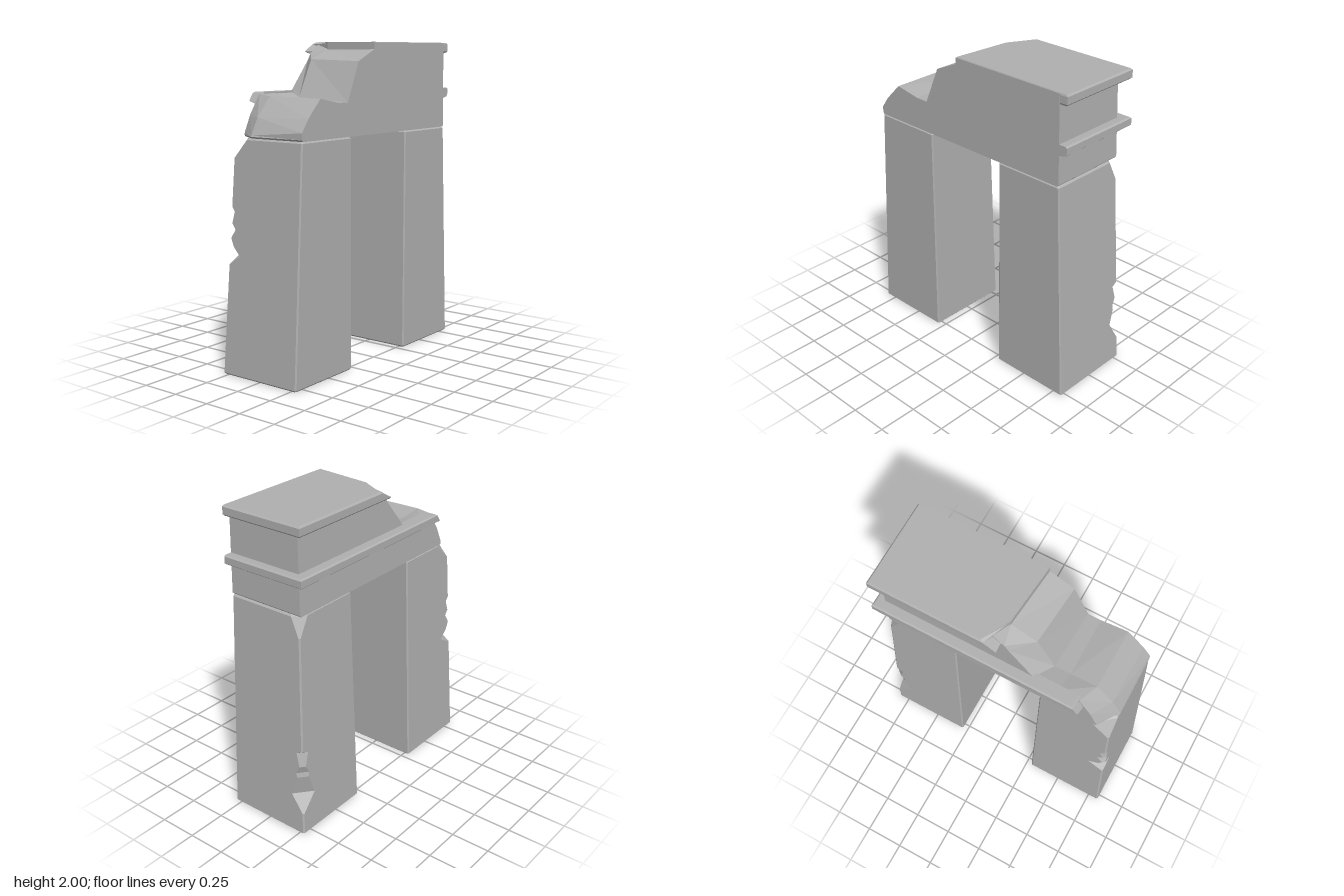
import * as THREE from 'three';

const stone = new THREE.MeshStandardMaterial({ color: 0xb0b0b0, flatShading: true });
stone.name = 'grey stone';

// Solid skinned over rings of [x, y, z] points; 'flat' picks the two axes used to close the ends.
function loft(name, rings, flat) {
  const to2D = (r) => r.map((p) => new THREE.Vector2(p[flat[0]], p[flat[1]]));
  if (THREE.ShapeUtils.area(to2D(rings[0])) < 0) rings = rings.map((r) => [...r].reverse());
  const n = rings[0].length;
  const tris = [];
  for (let k = 0; k < rings.length - 1; k++) {
    const a = rings[k], b = rings[k + 1];
    for (let i = 0; i < n; i++) {
      const j = (i + 1) % n;
      tris.push([a[i], a[j], b[j]], [a[i], b[j], b[i]]);
    }
  }
  const first = rings[0], last = rings[rings.length - 1];
  for (const [a, b, c] of THREE.ShapeUtils.triangulateShape(to2D(first), [])) tris.push([first[a], first[c], first[b]]);
  for (const [a, b, c] of THREE.ShapeUtils.triangulateShape(to2D(last), [])) tris.push([last[a], last[b], last[c]]);

  // Turn the faces outward whichever way the rings run
  const v = (p) => new THREE.Vector3(...p);
  const volume = tris.reduce((s, [a, b, c]) => s + v(a).dot(v(b).cross(v(c))), 0);
  const points = tris.flatMap(([a, b, c]) => (volume < 0 ? [a, c, b] : [a, b, c]));
  const geometry = new THREE.BufferGeometry();
  geometry.setAttribute('position', new THREE.Float32BufferAttribute(points.flat(), 3));
  geometry.computeVertexNormals();
  const mesh = new THREE.Mesh(geometry, stone);
  mesh.name = name;
  return mesh;
}

// Tapered pillar; side is +1 for front, -1 for back, chips are [height, cut] along its outer corner
function pillar(name, side, chips) {
  const e = 0.008;
  const ring = ([y, cut], inset) => {
    const t = y / 1.44;
    const x0 = THREE.MathUtils.lerp(-0.287, -0.23, t) + inset, x1 = 0.287 - inset;
    const z0 = 0.285 + inset, z1 = THREE.MathUtils.lerp(0.822, 0.75, t) - inset;
    return [
      [x0 + e, z0], [x1 - e, z0], [x1, z0 + e], [x1, z1 - e],
      [x1 - e, z1], [x0 + cut, z1], [x0, z1 - cut * 1.2], [x0, z0 + e],
    ].map(([x, z]) => [x, y, z * side]);
  };
  const top = chips[chips.length - 1][1];
  return loft(name, [
    ring([0, e], 0.01), ring([0.01, e], 0),
    ...chips.map((c) => ring(c, 0)),
    ring([1.44, top], 0.01),
  ], [0, 2]);
}

// Broken lintel, skinned from three upright profiles of [z, y] across its width
function lintel() {
  const profiles = [
    [0.287, [[0.74, 1.44], [0.75, 1.45], [0.75, 1.49], [0.695, 1.565], [0.585, 1.675], [0.41, 1.645], [0.325, 1.645],
      [0.22, 1.885], [0.06, 1.955], [0.06, 1.997]]],
    [-0.1, [[0.74, 1.44], [0.75, 1.45], [0.745, 1.458], [0.69, 1.56], [0.58, 1.68], [0.41, 1.665], [0.31, 1.665],
      [0.19, 1.895], [0.025, 1.955], [0.025, 1.997]]],
    [-0.235, [[0.65, 1.44], [0.66, 1.45], [0.655, 1.47], [0.61, 1.57], [0.53, 1.69], [0.4, 1.695], [0.235, 1.695],
      [0.075, 1.89], [0.05, 1.93], [-0.04, 1.997]]],
  ];
  const back = [[-0.735, 1.997], [-0.747, 1.45], [-0.737, 1.44]];
  const rings = profiles.map(([x, front]) => [...front, ...back].map(([z, y]) => {
    const lean = x < -0.2 ? (y - 1.44) * 0.03 : 0;
    return [x + lean, y, z];
  }));
  return loft('lintel', rings, [2, 1]);
}

// Top slab, overhanging at the back and the right, broken off at the front
function cornice() {
  const ring = (y, inset, tip) => {
    const x0 = -0.282 + inset, x1 = 0.286 - inset * 0.4, z0 = -0.79 + inset;
    return [[x0, y, z0], [x1, y, z0], [x1, y, 0.057], [-0.1, y, 0.022], [x0, y, tip]];
  };
  return loft('cornice', [
    ring(1.925, 0.05, 0.02), ring(1.935, 0.01, 0.03), ring(1.945, 0, 0.03),
    ring(1.99, 0, -0.05), ring(2, 0.01, -0.07),
  ], [0, 2]);
}

// Lower ledge running round the back and the right
function ledge() {
  const ring = (y, inset, tip) => {
    const x0 = -0.292 + inset, x1 = 0.286, z0 = -0.797 + inset;
    return [[x0, y, z0], [x1, y, z0], [x1, y, -0.7], [-0.2, y, -0.7], [-0.2, y, tip], [x0, y, tip]];
  };
  return loft('ledge', [
    ring(1.632, 0.05, 0.56), ring(1.642, 0.01, 0.555), ring(1.65, 0, 0.55),
    ring(1.692, 0, 0.52), ring(1.7, 0.01, 0.51),
  ], [0, 2]);
}

export function createModel() {
  const group = new THREE.Group();
  group.name = 'ruinedArch';
  group.add(
    pillar('frontPillar', 1, [
      [0.68, 0.008], [0.735, 0.09], [0.79, 0.035], [0.84, 0.012], [0.89, 0.045],
      [0.93, 0.015], [1.0, 0.03], [1.03, 0.008], [1.32, 0.008], [1.43, 0.1],
    ]),
    pillar('backPillar', -1, [
      [0.15, 0.008], [0.26, 0.09], [0.39, 0.045], [0.42, 0.05], [0.47, 0.025],
      [0.56, 0.045], [0.58, 0.008], [1.31, 0.008], [1.43, 0.06],
    ]),
    lintel(),
    cornice(),
    ledge(),
  );
  return group;
}
